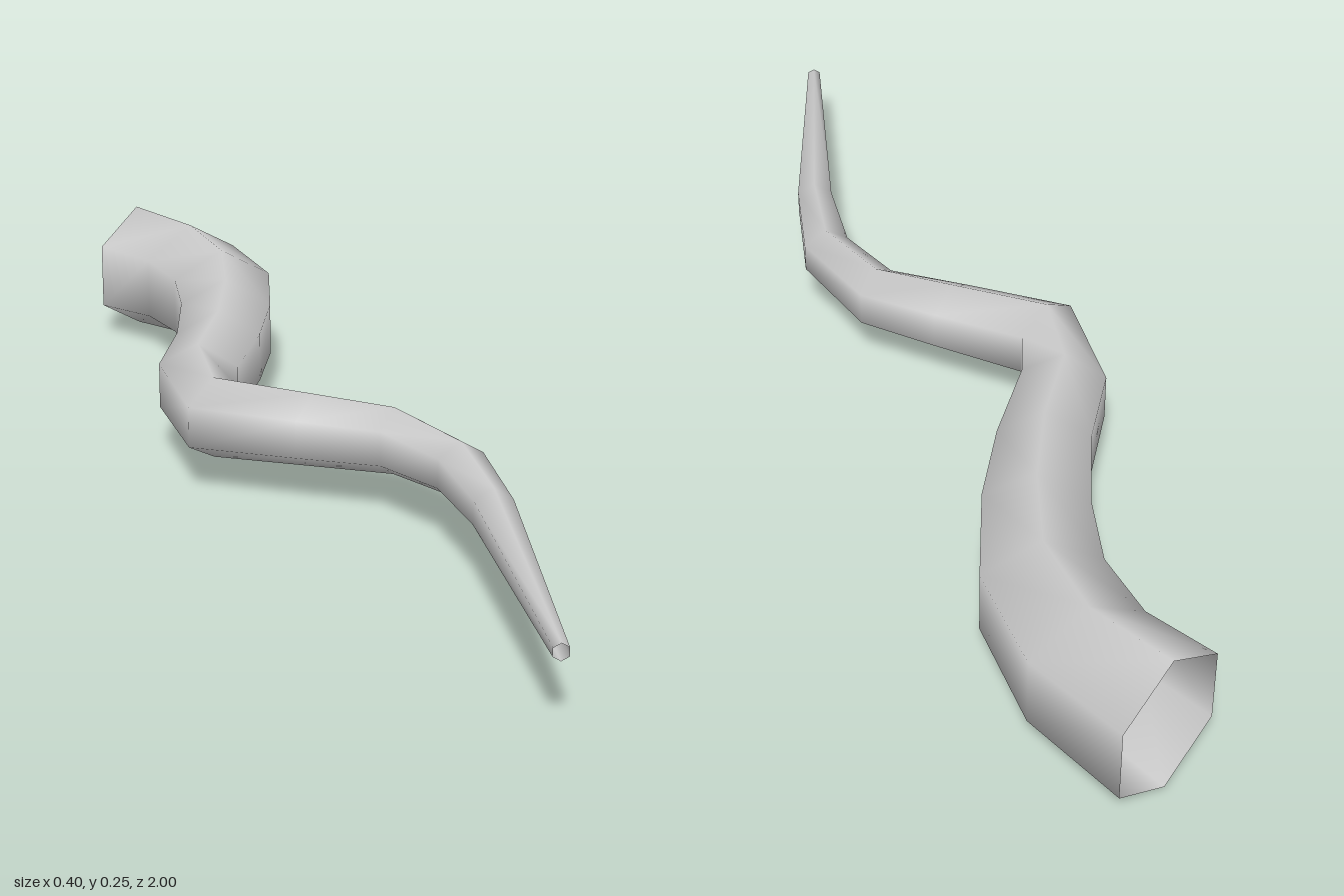
import * as THREE from 'three';

const SIDES = 6;
const CENTRE_Y = 0.127;

// Cross-sections from the wide open end to the tip: [right-hand edge x, z, left-hand edge x, z]
const SECTIONS = [
  [-0.06, -0.9, 0.13, -1.0],
  [0.0, -0.78, 0.2, -0.82],
  [0.01, -0.65, 0.2, -0.62],
  [-0.025, -0.515, 0.13, -0.44],
  [-0.09, -0.36, 0.05, -0.295],
  [-0.175, -0.22, -0.05, -0.15],
  [-0.2, 0.0, -0.085, -0.06],
  [-0.055, 0.125, 0.035, 0.06],
  [0.06, 0.22, 0.135, 0.165],
  [0.1, 0.355, 0.182, 0.355],
  [0.08, 0.52, 0.14, 0.54],
  [-0.04, 0.992, -0.018, 1.0],
];

// Radius tapers evenly along z
const radiusAt = (z) => THREE.MathUtils.mapLinear(z, -0.95, 1, 0.127, 0.0135);

// Winding hexagonal tube skinned over the cross-sections
function hornGeometry() {
  const positions = [];
  const indices = [];
  SECTIONS.forEach(([x0, z0, x1, z1], i) => {
    const cx = (x0 + x1) / 2;
    const cz = (z0 + z1) / 2;
    const r = radiusAt(cz);
    for (let j = 0; j < SIDES; j++) {
      const angle = Math.PI / 6 + (j / SIDES) * Math.PI * 2;
      const across = Math.cos(angle) / Math.cos(Math.PI / 6) / 2;
      positions.push(cx + (x1 - x0) * across, CENTRE_Y + r * Math.sin(angle), cz + (z1 - z0) * across);
      if (i === SECTIONS.length - 1) continue;
      const a = i * SIDES + j;
      const b = i * SIDES + ((j + 1) % SIDES);
      indices.push(a, b, a + SIDES, b, b + SIDES, a + SIDES);
    }
  });
  const geometry = new THREE.BufferGeometry();
  geometry.setAttribute('position', new THREE.Float32BufferAttribute(positions, 3));
  geometry.setIndex(indices);
  geometry.computeVertexNormals();
  return geometry;
}

export function createModel() {
  const group = new THREE.Group();
  group.name = 'windingHorn';
  const material = new THREE.MeshStandardMaterial({ color: 0xcccccc, side: THREE.DoubleSide });
  const horn = new THREE.Mesh(hornGeometry(), material);
  horn.name = 'horn';
  group.add(horn);
  return group;
}
